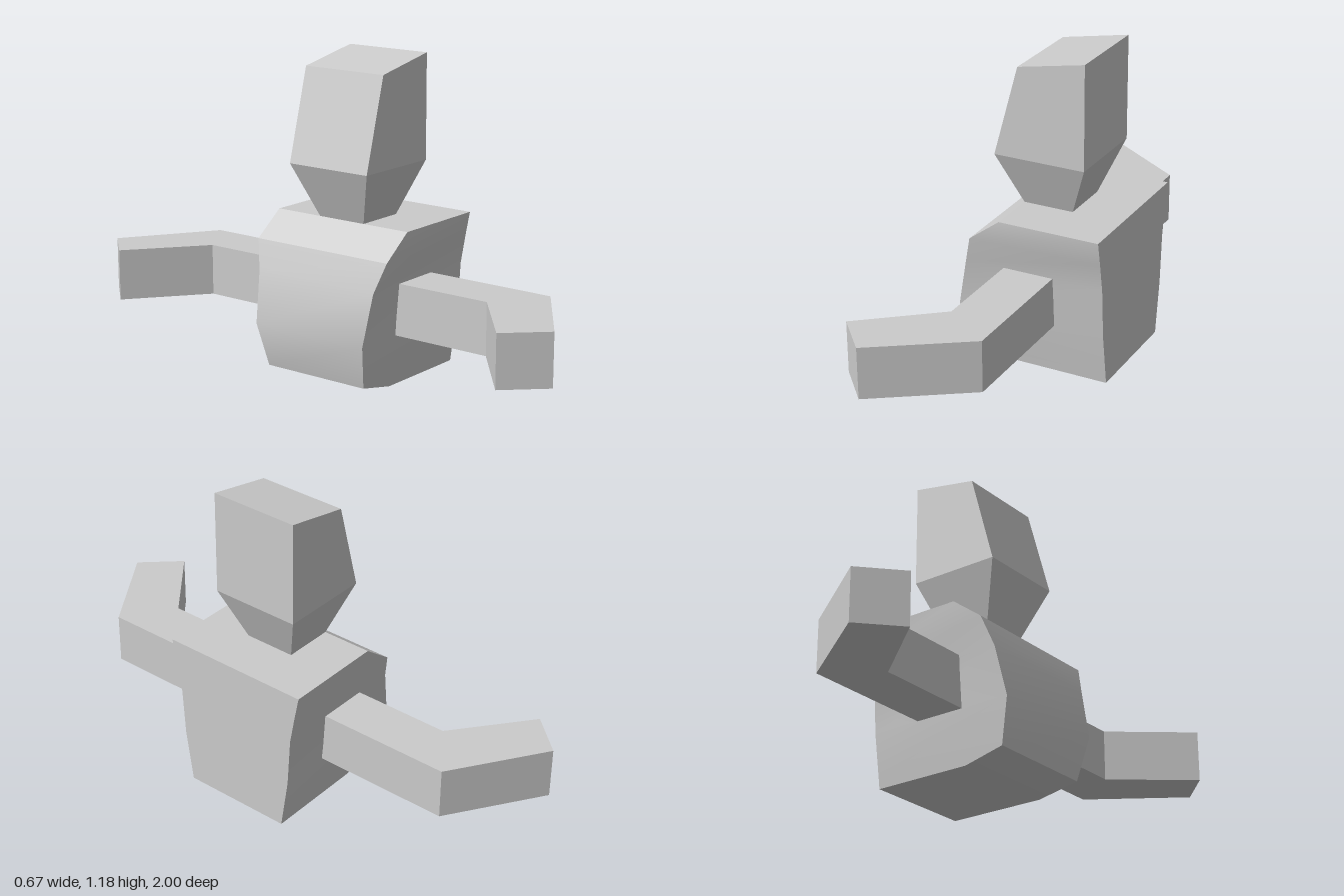
import * as THREE from 'three';
import { toCreasedNormals } from 'three/addons/utils/BufferGeometryUtils.js';

const material = new THREE.MeshStandardMaterial({ color: 0xcccccc });

// Closed loft of four-cornered sections, listed from bottom to top.
// Each section is [xFace, yFace, halfZFace, xRear, yRear, halfZRear].
function loft(sections, crease) {
  const positions = [];
  const index = [];
  for (const [xf, yf, zf, xr, yr, zr] of sections) {
    positions.push(xr, yr, zr, xr, yr, -zr, xf, yf, -zf, xf, yf, zf);
  }
  for (let r = 0; r < sections.length - 1; r++) {
    for (let i = 0; i < 4; i++) {
      const a = r * 4 + i;
      const b = r * 4 + (i + 1) % 4;
      index.push(a, b, b + 4, a, b + 4, a + 4);
    }
  }
  const t = (sections.length - 1) * 4;
  index.push(0, 2, 1, 0, 3, 2, t, t + 1, t + 2, t, t + 2, t + 3);
  const geometry = new THREE.BufferGeometry();
  geometry.setAttribute('position', new THREE.Float32BufferAttribute(positions, 3));
  geometry.setIndex(index);
  return toCreasedNormals(geometry, crease);
}

// Bent arm: plan outline extruded to the arm's height; side is +1 or -1 along z
function armGeometry(side) {
  const outline = [
    [0.14, 0.23], [0.14, 0.77], [-0.205, 1], [-0.335, 0.86], [-0.055, 0.635], [-0.055, 0.23],
  ];
  const shape = new THREE.Shape(outline.map(([x, z]) => new THREE.Vector2(x, z * side)));
  const geometry = new THREE.ExtrudeGeometry(shape, { depth: 0.195, bevelEnabled: false });
  return geometry.rotateX(Math.PI / 2).translate(0, 0.395, 0);
}

export function createModel() {
  const model = new THREE.Group();
  model.name = 'figureBust';
  const add = (name, geometry) => {
    const mesh = new THREE.Mesh(geometry, material);
    mesh.name = name;
    model.add(mesh);
  };

  // Torso: flat back at +x, rounded chest at -x
  add('torso', loft([
    [-0.05, 0, 0.215, 0.335, 0, 0.215],
    [-0.21, 0.035, 0.22, 0.335, 0.035, 0.22],
    [-0.25, 0.2, 0.245, 0.335, 0.2, 0.245],
    [-0.21, 0.39, 0.262, 0.335, 0.39, 0.257],
    [-0.175, 0.5, 0.295, 0.335, 0.5, 0.277],
    [-0.055, 0.59, 0.295, 0.335, 0.59, 0.295],
  ], 0.61));

  // Head: flares out from the neck, then slopes back to a tilted crown
  add('head', loft([
    [-0.055, 0.59, 0.1, 0.14, 0.59, 0.1],
    [-0.135, 0.79, 0.175, 0.22, 0.79, 0.175],
    [-0.04, 1.135, 0.175, 0.22, 1.185, 0.175],
  ], 0.1));

  // Arms
  add('leftArm', armGeometry(1));
  add('rightArm', armGeometry(-1));

  return model;
}
